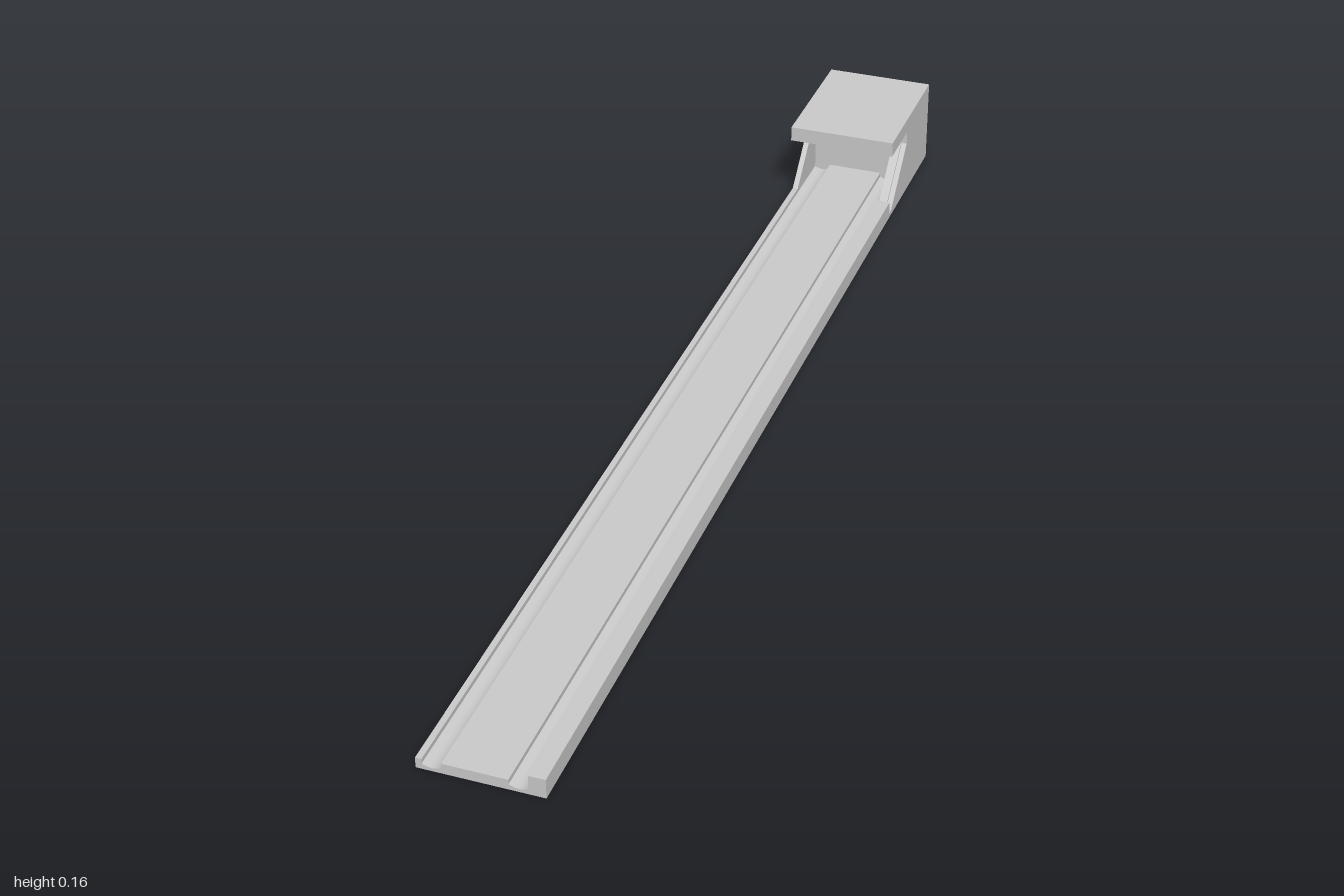
import * as THREE from 'three';

const W = 0.1, BACK = -1, FRONT = 1, CAVITY = -0.87, LIP = -0.74, TOP = 0.158;

export function createModel() {
  const group = new THREE.Group();
  const material = new THREE.MeshStandardMaterial({ color: 0xcccccc, flatShading: true });

  const add = (name, geometry) => {
    const mesh = new THREE.Mesh(geometry, material);
    mesh.name = name;
    group.add(mesh);
  };

  // Box given by its two opposite corners
  const box = (name, x0, x1, y0, y1, z0, z1) => {
    const g = new THREE.BoxGeometry(x1 - x0, y1 - y0, z1 - z0);
    g.translate((x0 + x1) / 2, (y0 + y1) / 2, (z0 + z1) / 2);
    add(name, g);
  };

  // Plate with a (z, y) outline, spanning x0..x1
  const sidePlate = (name, points, x0, x1) => {
    const shape = new THREE.Shape(points.map(([z, y]) => new THREE.Vector2(-z, y)));
    const g = new THREE.ExtrudeGeometry(shape, { depth: x1 - x0, bevelEnabled: false });
    g.rotateY(Math.PI / 2);
    g.translate(x0, 0, 0);
    add(name, g);
  };

  // Track bed: flat deck between two round-bottomed grooves
  const bed = new THREE.Shape();
  bed.moveTo(-W, 0);
  bed.lineTo(W, 0);
  bed.lineTo(W, 0.01);
  bed.lineTo(0.073, 0.01);
  bed.quadraticCurveTo(0.058, 0.001, 0.043, 0.01);
  bed.lineTo(0.043, 0.018);
  bed.lineTo(-0.06, 0.018);
  bed.lineTo(-0.06, 0.01);
  bed.quadraticCurveTo(-0.075, 0.001, -0.09, 0.01);
  bed.lineTo(-0.09, 0.018);
  bed.lineTo(-W, 0.018);
  const bedGeometry = new THREE.ExtrudeGeometry(bed, {
    depth: FRONT - CAVITY, bevelEnabled: false, curveSegments: 8,
  });
  bedGeometry.translate(0, 0, CAVITY);
  add('trackBed', bedGeometry);

  // Taller rail along the left edge, stopping short of the housing
  box('sideRail', 0.073, W, 0, 0.034, -0.735, FRONT);

  // Housing: solid rear block, overhanging roof and two cut-away cheeks
  box('housingBlock', -W, W, 0, TOP, BACK, CAVITY);
  box('housingRoof', -W, W, 0.13, TOP, CAVITY, LIP);
  const cheek = [
    [CAVITY, 0], [-0.74, 0], [-0.75, 0.012], [-0.845, 0.105], [-0.845, 0.13], [CAVITY, 0.13],
  ];
  sidePlate('rightCheek', cheek, -W, -0.09);
  sidePlate('leftCheek', cheek, 0.073, W);

  // Thin rib running up the sloped edge of the wide cheek
  sidePlate('cheekRib', [
    [-0.75, 0.01], [-0.742, 0.01], [-0.843, 0.108], [-0.85, 0.105],
  ], 0.082, 0.09);

  return group;
}
